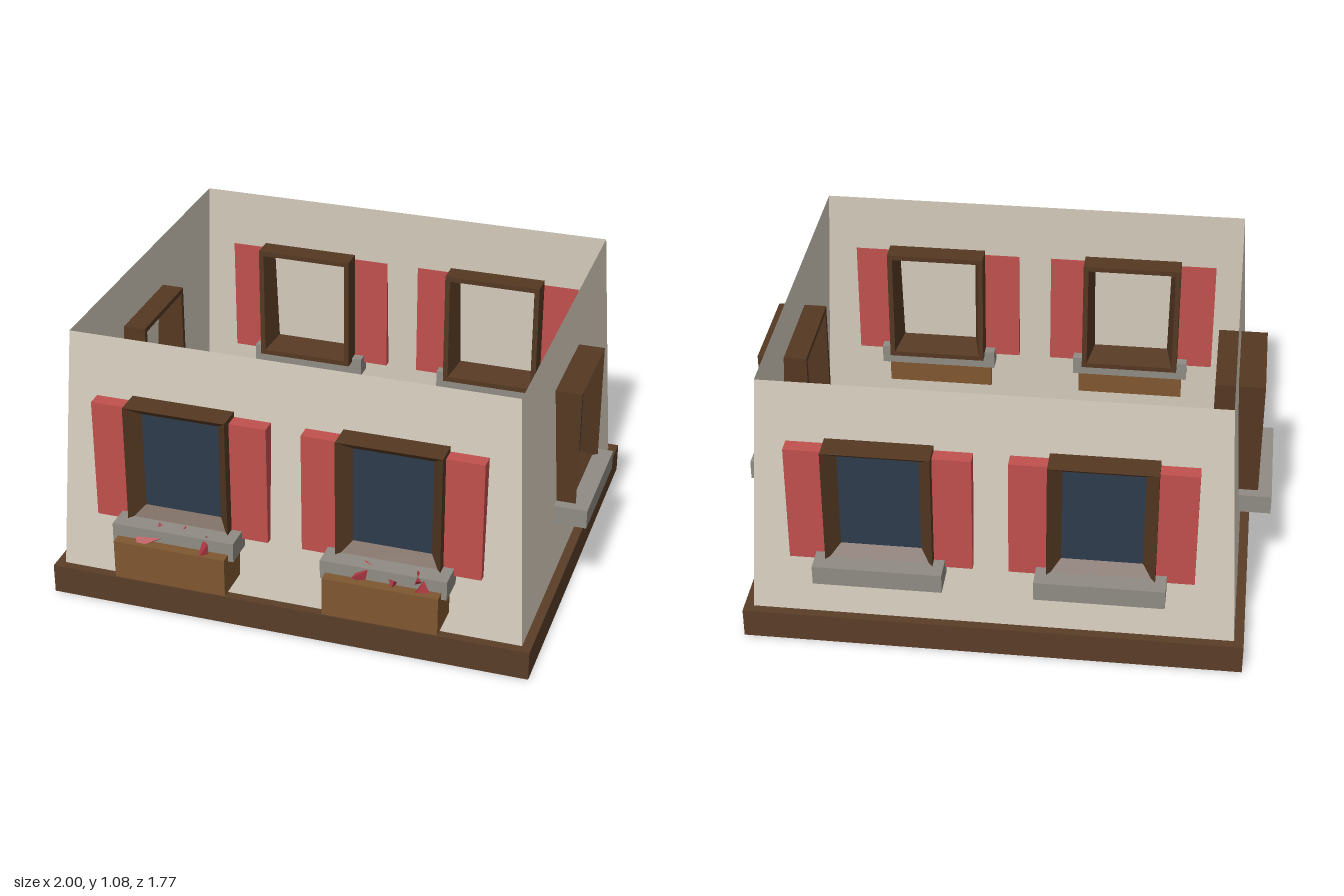
import * as THREE from 'three';

const mat = (color, side = THREE.FrontSide) =>
  new THREE.MeshStandardMaterial({ color, side, flatShading: true });
const M = {
  wall: mat(0xd8cfbf, THREE.DoubleSide),
  base: mat(0x5a3d28),
  frame: mat(0x553822),
  glass: mat(0x2e3b4c),
  sill: mat(0x908c84),
  shutter: mat(0xc0504d),
  planter: mat(0x7f5730),
  flower: mat(0xb03a42),
};
const CENTRE_Z = -0.0275;

function mesh(name, geometry, material, parent) {
  const m = new THREE.Mesh(geometry, material);
  m.name = name;
  parent.add(m);
  return m;
}

// Box given by its minimum and maximum on each axis
function box(name, [x0, x1], [y0, y1], [z0, z1], material, parent) {
  const g = new THREE.BoxGeometry(x1 - x0, y1 - y0, z1 - z0);
  g.translate((x0 + x1) / 2, (y0 + y1) / 2, (z0 + z1) / 2);
  return mesh(name, g, material, parent);
}

// Skin joining successive rectangles [x0, x1, y0, y1, z]
function skinRects(rects) {
  const loops = rects.map(([x0, x1, y0, y1, z]) => [[x0, y0, z], [x1, y0, z], [x1, y1, z], [x0, y1, z]]);
  const pos = [];
  for (let k = 0; k < loops.length - 1; k++) {
    const a = loops[k], b = loops[k + 1];
    for (let i = 0; i < 4; i++) {
      const j = (i + 1) % 4;
      pos.push(...a[i], ...a[j], ...b[j], ...a[i], ...b[j], ...b[i]);
    }
  }
  const g = new THREE.BufferGeometry();
  g.setAttribute('position', new THREE.Float32BufferAttribute(pos, 3));
  g.computeVertexNormals();
  return g;
}

// Window facing +z, its local z = 0 at the front edge of the frame
function createWindow({ shutters = false, planter = false }) {
  const g = new THREE.Group();
  g.name = 'window';
  const inset = (d, z) => [-0.195 + d, 0.195 - d, 0.385 + d, 0.86 - d, z];

  // Frame with a bevelled reveal, open at the back
  mesh('windowFrame', skinRects([
    inset(0, -0.185), inset(0, 0), inset(0.048, -0.062), inset(0.02, -0.185), inset(0, -0.185),
  ]), M.frame, g);
  const pane = mesh('windowGlass', new THREE.PlaneGeometry(0.294, 0.379), M.glass, g);
  pane.position.set(0, 0.6225, -0.062);
  box('windowSill', [-0.235, 0.235], [0.325, 0.4], [-0.14, 0.052], M.sill, g);

  if (shutters) {
    for (const s of [-1, 1]) {
      const xs = [s * 0.195, s * 0.335].sort((a, b) => a - b);
      box('shutter', xs, [0.37, 0.84], [-0.1, -0.042], M.shutter, g);
    }
  }
  if (planter) {
    box('flowerBox', [-0.215, 0.215], [0.2, 0.352], [-0.08, 0.094], M.planter, g);
  }
  return g;
}

// Small angular blossoms: [x, y, z, radius, turn, stretch]
function addFlowers(parent, list) {
  for (const [x, y, z, r, turn, stretch] of list) {
    const f = mesh('flower', new THREE.TetrahedronGeometry(r), M.flower, parent);
    f.position.set(x, y, z);
    f.rotation.set(turn, turn * 1.7, turn * 0.4);
    f.scale.x = stretch;
  }
}

export function createModel() {
  const root = new THREE.Group();
  root.name = 'houseStorey';
  const house = new THREE.Group();
  house.name = 'house';
  house.position.z = CENTRE_Z;
  root.add(house);

  // Floor slab and tapered walls without a roof
  box('baseSlab', [-0.925, 0.925], [0, 0.115], [-0.783, 0.783], M.base, house);
  const walls = skinRects([
    [-0.89, 0.89, -0.748, 0.748, 0.115],
    [-0.835, 0.835, -0.69, 0.69, 1.08],
  ]);
  walls.rotateX(-Math.PI / 2);
  mesh('walls', walls, M.wall, house);

  // Two shuttered windows on the front and on the back
  const blossoms = [
    [[-0.15, 0.38, 0.03, 0.03, 0.6, 1], [-0.06, 0.385, 0.02, 0.03, 2.1, 1], [0.03, 0.385, 0.01, 0.027, 3.3, 1],
      [0.12, 0.385, 0.02, 0.028, 1.4, 1], [-0.09, 0.36, 0.06, 0.025, 0.2, 3.2], [0.13, 0.365, 0.07, 0.028, 0.9, 2]],
    [[-0.08, 0.37, 0.05, 0.035, 0.7, 1.3], [-0.06, 0.385, 0.02, 0.03, 2.6, 1], [0.04, 0.365, 0.06, 0.022, 1.2, 1],
      [0.13, 0.38, 0.04, 0.035, 3.1, 1.2], [0.15, 0.37, 0.08, 0.03, 1.9, 1.3]],
  ];
  [-0.4, 0.4].forEach((x, i) => {
    const front = createWindow({ shutters: true, planter: true });
    front.name = 'frontWindow';
    front.position.set(x, 0, 0.8025);
    addFlowers(front, blossoms[i]);
    const back = createWindow({ shutters: true });
    back.name = 'backWindow';
    back.position.set(x, 0, -0.8025);
    back.rotation.y = Math.PI;
    house.add(front, back);
  });

  // One plain window on each side
  for (const s of [-1, 1]) {
    const side = createWindow({});
    side.name = s > 0 ? 'leftWindow' : 'rightWindow';
    side.position.x = s * 0.947;
    side.rotation.y = s * Math.PI / 2;
    house.add(side);
  }
  return root;
}
